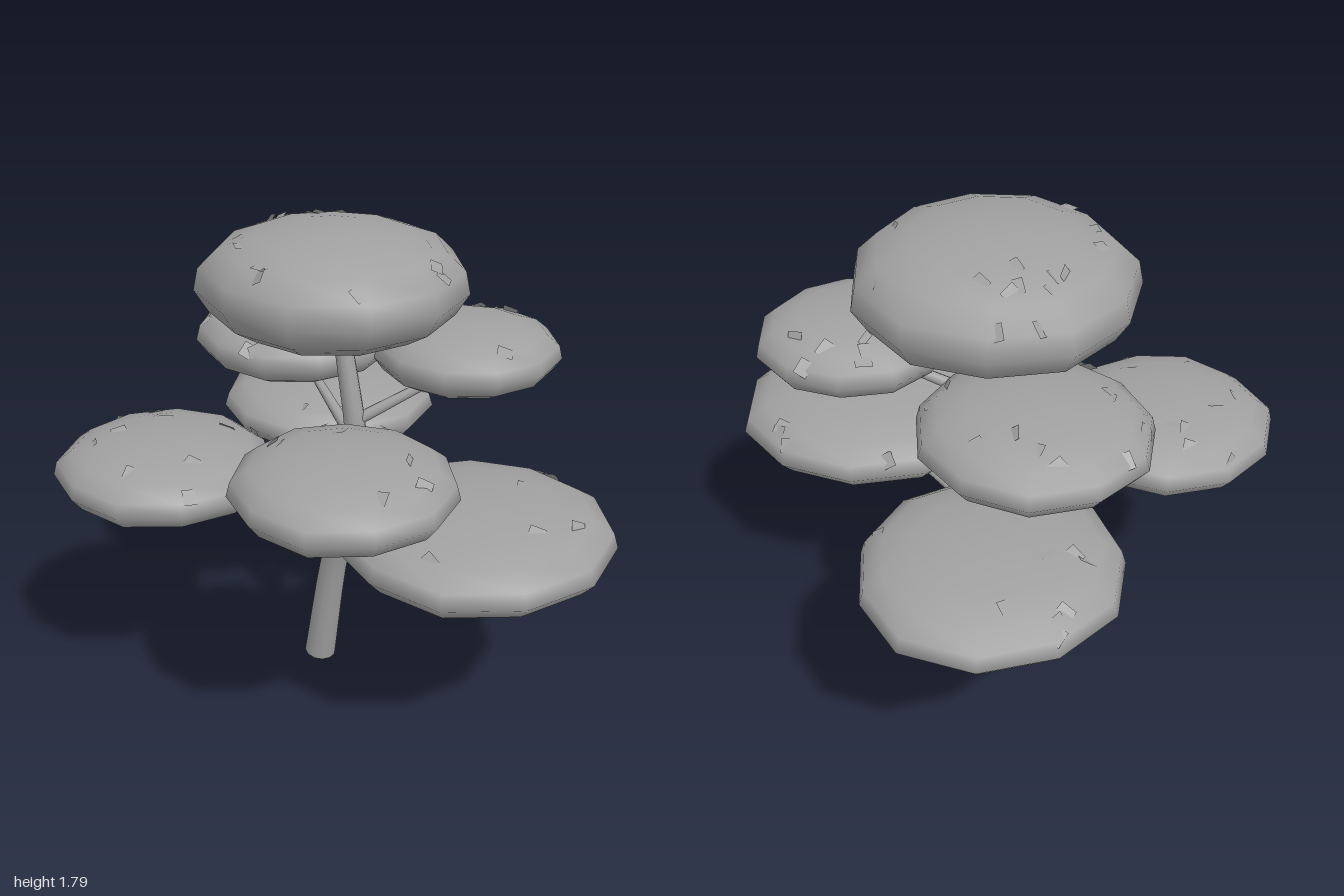
import * as THREE from 'three';
import { mergeVertices } from 'three/addons/utils/BufferGeometryUtils.js';

// Small seeded random generator
function seeded(seed) {
  let s = seed;
  return () => {
    s = (s * 16807) % 2147483647;
    return s / 2147483647;
  };
}

// Tapered tube along a smooth path
function limb(points, r0, r1, sides, steps) {
  const curve = new THREE.CatmullRomCurve3(points.map((p) => new THREE.Vector3(...p)));
  const geo = new THREE.TubeGeometry(curve, steps, 1, sides);
  const pos = geo.attributes.position;
  const v = new THREE.Vector3();
  for (let i = 0; i < pos.count; i++) {
    const t = Math.floor(i / (sides + 1)) / steps;
    const c = curve.getPointAt(t);
    v.fromBufferAttribute(pos, i).sub(c).multiplyScalar(r0 + (r1 - r0) * t).add(c);
    pos.setXYZ(i, v.x, v.y, v.z);
  }
  return geo;
}

// Unit cross-section of a foliage pad: flat below, domed above
const PROFILE = [
  [0, 0], [0.4, 0], [0.72, 0.015], [0.9, 0.16], [1, 0.38],
  [0.965, 0.6], [0.82, 0.79], [0.58, 0.91], [0.3, 0.97], [0, 1],
].map(([r, h]) => new THREE.Vector2(r, h));

// Rounded many-sided pad with a slightly uneven outline
function padGeometry(rx, h, rz, rand) {
  const sides = 11;
  const wobble = Array.from({ length: sides }, () => 0.98 + rand() * 0.05);
  let geo = new THREE.LatheGeometry(PROFILE, sides, 0);
  const pos = geo.attributes.position;
  for (let i = 0; i < pos.count; i++) {
    const k = wobble[Math.floor(i / PROFILE.length) % sides];
    pos.setXYZ(i, pos.getX(i) * rx * k, pos.getY(i) * h, pos.getZ(i) * rz * k);
  }
  geo.deleteAttribute('normal');
  geo.deleteAttribute('uv');
  geo = mergeVertices(geo, 1e-4);
  geo.computeVertexNormals();
  return geo;
}

export function createModel() {
  const tree = new THREE.Group();
  tree.name = 'tree';
  const grey = new THREE.MeshStandardMaterial({ color: 0xa0a0a0, side: THREE.DoubleSide });
  grey.name = 'plain grey';

  const add = (parent, geo, name) => {
    const mesh = new THREE.Mesh(geo, grey);
    mesh.name = name;
    parent.add(mesh);
    return mesh;
  };

  // Leaning, curved trunk with a closed foot
  const trunk = [
    [-0.185, 0.015, -0.08], [-0.1, 0.5, -0.09], [-0.03, 0.7, -0.09], [0.015, 0.87, -0.09],
    [0.015, 1.05, -0.09], [-0.02, 1.25, -0.085], [-0.075, 1.5, -0.08],
  ];
  add(tree, limb(trunk, 0.062, 0.03, 12, 20), 'trunk');
  const foot = add(tree, new THREE.CircleGeometry(0.062, 12), 'trunkFoot');
  foot.position.set(...trunk[0]);
  foot.rotation.set(Math.PI / 2, -0.17, 0);

  // Branches, each from the trunk into a pad
  const branches = [
    [[-0.04, 0.585, -0.09], [0.47, 0.75, -0.21]],
    [[-0.05, 0.66, -0.09], [-0.54, 0.83, -0.44]],
    [[-0.02, 0.71, -0.08], [-0.35, 0.89, 0.43]],
    [[0.02, 0.88, -0.08], [0.4, 1.07, 0.28]],
    [[0.01, 1.02, -0.09], [-0.45, 1.2, -0.2]],
    [[0.01, 1.1, -0.09], [0.22, 1.3, -0.41]],
  ];
  for (const [a, b] of branches) {
    add(tree, limb([a, b], 0.024, 0.013, 8, 4), 'branch');
  }

  // Foliage pads: centre x, base y, centre z, radius x, height, radius z, leaf count
  const pads = [
    ['crownPad', -0.105, 1.44, -0.08, 0.48, 0.35, 0.465, 20],
    ['lowerLeftPad', 0.52, 0.72, -0.205, 0.478, 0.24, 0.49, 12],
    ['frontLeftPad', 0.42, 1.035, 0.3, 0.375, 0.22, 0.375, 8],
    ['backLeftPad', 0.22, 1.26, -0.42, 0.32, 0.21, 0.33, 8],
    ['middleRightPad', -0.47, 1.17, -0.2, 0.38, 0.22, 0.375, 14],
    ['frontRightPad', -0.36, 0.86, 0.475, 0.39, 0.22, 0.385, 12],
    ['backRightPad', -0.575, 0.805, -0.445, 0.42, 0.22, 0.44, 10],
  ];
  const leafGeo = new THREE.PlaneGeometry(0.055, 0.045);
  const up = new THREE.Vector3(0, 0, 1);
  pads.forEach(([name, x, y, z, rx, h, rz, leaves], n) => {
    const rand = seeded(977 + n * 131);
    const pad = new THREE.Group();
    pad.name = name;
    pad.position.set(x, y, z);
    tree.add(pad);
    add(pad, padGeometry(rx, h, rz, rand), 'foliage');

    // Small leaves half sunk into the upper surface
    for (let i = 0; i < leaves; i++) {
      const a = rand() * Math.PI * 2;
      const t = 0.3 + 0.65 * Math.sqrt(rand());
      const k = PROFILE.findIndex((p, j) => j >= 5 && p.x <= t);
      const lo = PROFILE[k - 1], hi = PROFILE[k];
      const height = lo.y + (hi.y - lo.y) * (lo.x - t) / (lo.x - hi.x);
      const leaf = add(pad, leafGeo, 'leaf');
      leaf.position.set(Math.sin(a) * t * rx * 0.98, height * h, Math.cos(a) * t * rz * 0.98);
      const out = new THREE.Vector3(Math.sin(a) * t * t, 0.9, Math.cos(a) * t * t);
      leaf.quaternion.setFromUnitVectors(up, out.normalize());
      leaf.rotateZ(rand() * 6.28);
      leaf.rotateX((rand() - 0.5) * 1.2);
    }
  });

  return tree;
}
